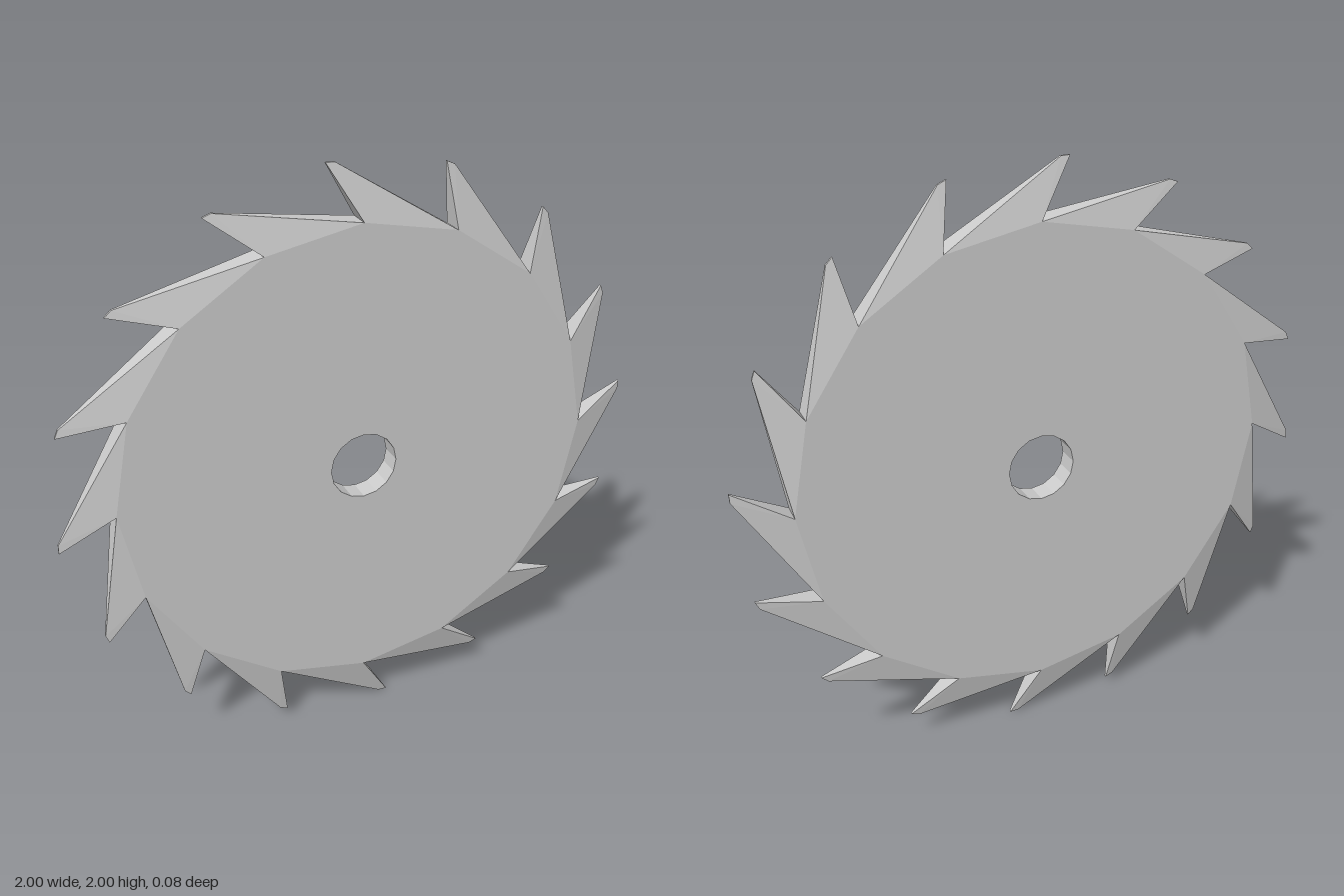
import * as THREE from 'three';

const TEETH = 16, ROOT = 0.82, BORE = 0.115, HALF = 0.04, TIP = 0.004;

// Corners of a regular polygon, with one corner at the top
function ring(radius, count) {
  return Array.from({ length: count }, (_, i) => {
    const a = Math.PI / 2 - (i / count) * Math.PI * 2;
    return new THREE.Vector2(radius * Math.cos(a), radius * Math.sin(a));
  });
}

// One raked tooth: full thickness at the rim, thinning to a narrow tip
function toothGeometry() {
  const [p, q] = ring(ROOT, TEETH);
  const outline = [
    [p.x, p.y, HALF], [q.x, q.y, HALF], [-0.077, 0.999, TIP], [-0.107, 1, TIP],
  ];
  const front = outline;
  const back = outline.map(([x, y, z]) => [x, y, -z]);
  const positions = [];
  const quad = (a, b, c, d) => positions.push(...a, ...b, ...c, ...a, ...c, ...d);
  quad(...front);
  quad(back[0], back[3], back[2], back[1]);
  // long back edge, tip and short cutting edge
  for (let i = 1; i < 4; i++) {
    const j = (i + 1) % 4;
    quad(front[i], back[i], back[j], front[j]);
  }
  const geometry = new THREE.BufferGeometry();
  geometry.setAttribute('position', new THREE.Float32BufferAttribute(positions, 3));
  geometry.computeVertexNormals();
  return geometry;
}

export function createModel() {
  const group = new THREE.Group();
  group.name = 'sawBlade';
  const blade = new THREE.Group();
  blade.position.y = 1;
  group.add(blade);

  const steel = new THREE.MeshStandardMaterial({ color: 0xcccccc, flatShading: true });
  const boreSteel = steel.clone();
  boreSteel.side = THREE.DoubleSide;

  const add = (name, geometry, material = steel) => {
    const mesh = new THREE.Mesh(geometry, material);
    mesh.name = name;
    blade.add(mesh);
    return mesh;
  };

  // Flat faces of the disc with the arbor hole
  const shape = new THREE.Shape(ring(ROOT, TEETH));
  shape.holes.push(new THREE.Path(ring(BORE, 16)));
  const face = new THREE.ShapeGeometry(shape);
  add('frontFace', face).position.z = HALF;
  const backFace = add('backFace', face);
  backFace.position.z = -HALF;
  backFace.rotation.y = Math.PI;

  // Inner wall of the arbor hole
  const bore = new THREE.CylinderGeometry(BORE, BORE, HALF * 2, 16, 1, true);
  add('arborHole', bore.rotateX(Math.PI / 2), boreSteel);

  // Teeth around the rim
  const tooth = toothGeometry();
  for (let i = 0; i < TEETH; i++) {
    add('tooth' + (i + 1), tooth).rotation.z = (-i / TEETH) * Math.PI * 2;
  }
  return group;
}
